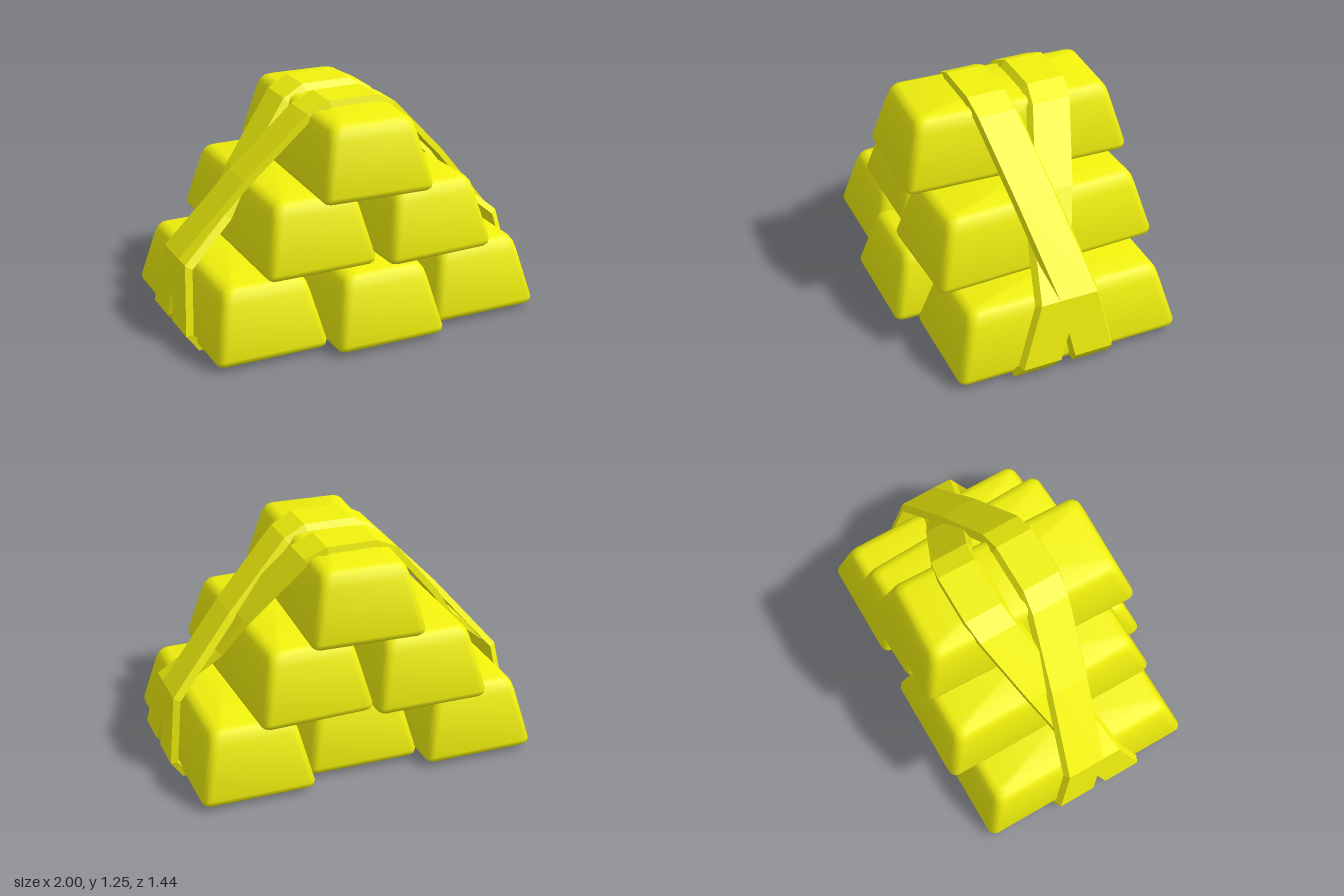
import * as THREE from 'three';
import { toCreasedNormals } from 'three/addons/utils/BufferGeometryUtils.js';

const material = new THREE.MeshStandardMaterial({ color: 0xf2f20d });

function indexed(positions, index) {
  const g = new THREE.BufferGeometry();
  g.setAttribute('position', new THREE.Float32BufferAttribute(positions, 3));
  g.setIndex(index);
  return g;
}

// Ingot: rounded rectangles stacked as [height, half width, half length, corner radius]
function ingotGeometry() {
  const rings = [
    [0, 0.297, 0.617, 0.035], [0.012, 0.308, 0.628, 0.04], [0.035, 0.312, 0.634, 0.045],
    [0.31, 0.249, 0.56, 0.05], [0.35, 0.236, 0.547, 0.05], [0.376, 0.217, 0.528, 0.045], [0.388, 0.185, 0.498, 0.03],
  ];
  const steps = 4, n = 4 * (steps + 1);
  const pos = [], idx = [];
  for (const [y, w, l, r] of rings) {
    for (let c = 0; c < 4; c++) {
      const sx = c === 0 || c === 3 ? 1 : -1, sz = c < 2 ? 1 : -1;
      for (let s = 0; s <= steps; s++) {
        const a = (c + s / steps) * Math.PI / 2;
        pos.push(sx * (w - r) + r * Math.cos(a), y, sz * (l - r) + r * Math.sin(a));
      }
    }
  }
  const last = rings.length - 1, bottom = rings.length * n, top = bottom + 1;
  pos.push(0, 0, 0, 0, rings[last][0], 0);
  for (let j = 0; j < n; j++) {
    const k = (j + 1) % n;
    for (let i = 0; i < last; i++) {
      const a = i * n + j, b = i * n + k;
      idx.push(a, a + n, b, b, a + n, b + n);
    }
    idx.push(bottom, j, k, top, last * n + k, last * n + j);
  }
  return toCreasedNormals(indexed(pos, idx), 0.9);
}

// Strap: closed band with bevelled edges, leaning in z as it rises
function strapGeometry(half, zBottom, zTop) {
  const height = 1.25, thick = 0.035;
  const path = [...half, ...half.map(([x, y]) => [-x, y]).reverse()].map(p => new THREE.Vector2(...p));
  const n = path.length, pos = [], idx = [];
  path.forEach((p, i) => {
    const d0 = p.clone().sub(path[(i + n - 1) % n]).normalize();
    const d1 = path[(i + 1) % n].clone().sub(p).normalize();
    // mitred inward offset
    const m = new THREE.Vector2(-d0.y - d1.y, d0.x + d1.x).normalize();
    const q = p.clone().addScaledVector(m, thick / (-m.x * d1.y + m.y * d1.x));
    for (const [v, dz] of [[p, 0.107], [p, -0.107], [q, -0.125], [q, 0.125]]) {
      pos.push(v.x, v.y, THREE.MathUtils.lerp(zBottom, zTop, v.y / height) + dz);
    }
    for (let k = 0; k < 4; k++) {
      const a = i * 4 + k, b = i * 4 + (k + 1) % 4;
      const c = ((i + 1) % n) * 4 + k, d = ((i + 1) % n) * 4 + (k + 1) % 4;
      idx.push(a, b, c, b, d, c);
    }
  });
  const g = indexed(pos, idx).toNonIndexed();
  g.computeVertexNormals();
  return g;
}

export function createModel() {
  const model = new THREE.Group();
  model.name = 'strappedIngotStack';
  const add = (geometry, name) => {
    const mesh = new THREE.Mesh(geometry, material);
    mesh.name = name;
    model.add(mesh);
    return mesh;
  };

  // Six ingots in a pyramid: name, x, y, z, turn
  const ingot = ingotGeometry();
  for (const [name, x, y, z, turn] of [
    ['lowerRightIngot', -0.635, 0.028, -0.03, 0],
    ['lowerMiddleIngot', 0, 0.028, 0.085, 0],
    ['lowerLeftIngot', 0.63, 0.028, -0.03, 0],
    ['middleRightIngot', -0.32, 0.424, -0.09, 0],
    ['middleLeftIngot', 0.325, 0.424, -0.03, 0.04],
    ['topIngot', -0.005, 0.818, -0.025, -0.035],
  ]) {
    const mesh = add(ingot, name);
    mesh.position.set(x, y, z);
    mesh.rotation.y = turn;
  }

  // Two crossed straps, the rear one drawn in against the middle ingots
  const foot = [[0.94, 0], [1, 0.08], [0.95, 0.43]];
  const crown = [[0.26, 1.19], [0.14, 1.25]];
  add(strapGeometry([...foot, [0.6, 0.84], ...crown], -0.15, 0.11), 'frontStrap');
  add(strapGeometry([...foot, [0.69, 0.65], [0.56, 0.84], ...crown], 0.19, -0.235), 'rearStrap');
  return model;
}
